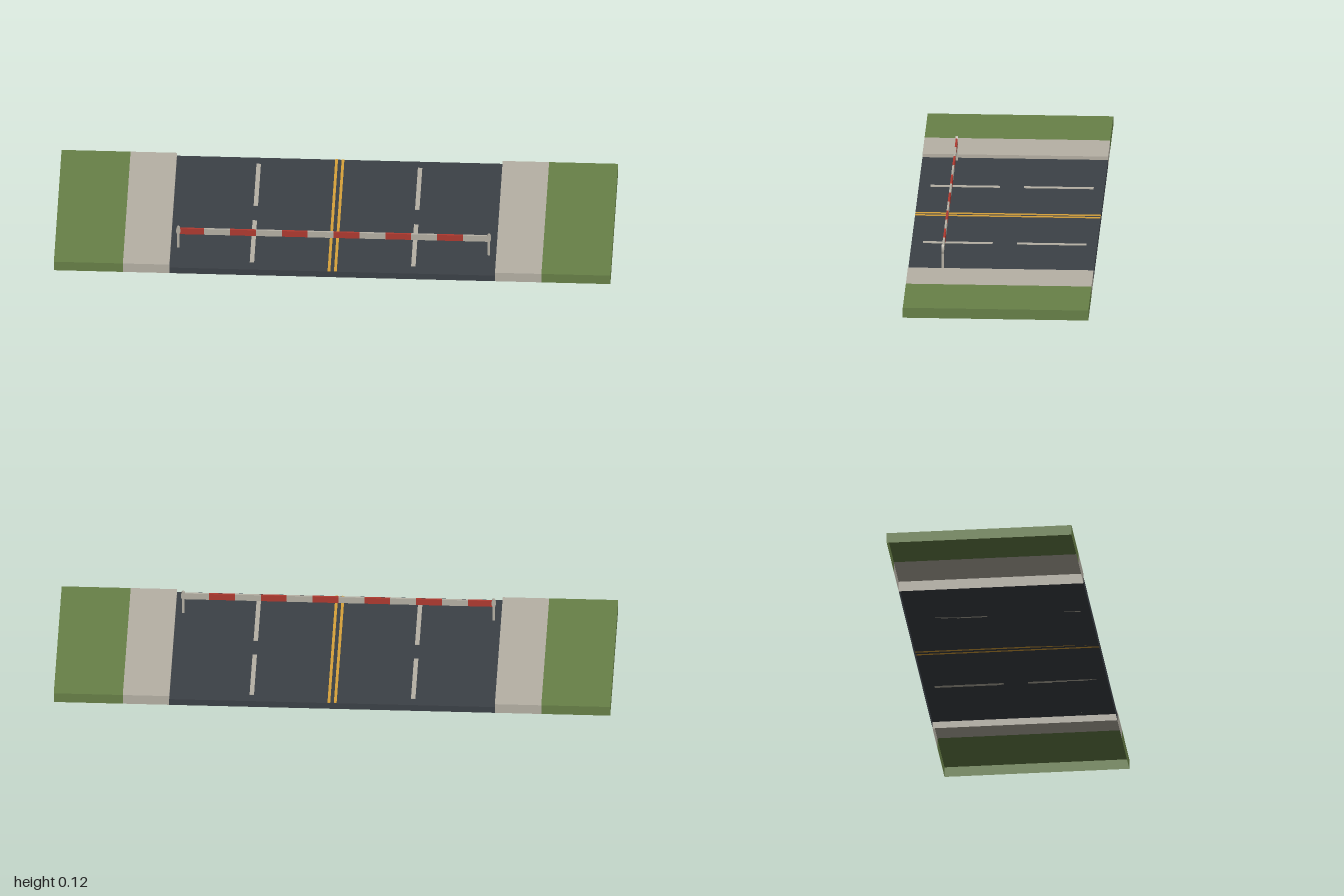
import * as THREE from 'three';

const material = (name, color) => {
  const m = new THREE.MeshStandardMaterial({ color, side: THREE.DoubleSide });
  m.name = name;
  return m;
};

const DEPTH = 0.667, ROAD_Y = 0.025, KERB_Y = 0.038;

export function createModel() {
  const group = new THREE.Group();
  const asphalt = material('asphalt', 0x3c4147);
  const pale = material('pale concrete', 0xb6b1a5);
  const grass = material('grass green', 0x688148);
  const yellow = material('line yellow', 0xd8a23a);
  const red = material('barrier red', 0xb03a30);

  const add = (parent, name, geometry, mat, x, y, z) => {
    const mesh = new THREE.Mesh(geometry, mat);
    mesh.name = name;
    mesh.position.set(x, y, z);
    parent.add(mesh);
    return mesh;
  };

  // Slab open underneath: top, front and back, plus an end wall at each x in ends
  const slab = (name, mat, x0, x1, h, ends) => {
    const part = new THREE.Group();
    part.name = name;
    const w = x1 - x0, cx = (x0 + x1) / 2;
    add(part, name + 'Top', new THREE.PlaneGeometry(w, DEPTH).rotateX(-Math.PI / 2), mat, cx, h, 0);
    add(part, name + 'Front', new THREE.PlaneGeometry(w, h), mat, cx, h / 2, DEPTH / 2);
    add(part, name + 'Back', new THREE.PlaneGeometry(w, h).rotateY(Math.PI), mat, cx, h / 2, -DEPTH / 2);
    for (const x of ends) {
      const turn = x > cx ? Math.PI / 2 : -Math.PI / 2;
      add(part, name + 'End', new THREE.PlaneGeometry(DEPTH, h).rotateY(turn), mat, x, h / 2, 0);
    }
    group.add(part);
  };

  // Road with a raised pavement and verge on each side
  slab('road', asphalt, -0.585, 0.585, ROAD_Y, []);
  slab('leftPavement', pale, 0.585, 0.752, KERB_Y, [0.585]);
  slab('rightPavement', pale, -0.752, -0.585, KERB_Y, [-0.585]);
  slab('leftVerge', grass, 0.752, 1, KERB_Y, [1]);
  slab('rightVerge', grass, -1, -0.752, KERB_Y, [-1]);

  // Double centre line and lane dashes
  for (const s of [-1, 1]) {
    add(group, 'centreLine', new THREE.BoxGeometry(0.01, 0.002, DEPTH), yellow, s * 0.0115, ROAD_Y + 0.001, 0);
    for (const z of [-0.17, 0.167]) {
      add(group, 'laneDash', new THREE.BoxGeometry(0.016, 0.002, 0.25), pale, s * 0.29, ROAD_Y + 0.001, z);
    }
  }

  // Striped barrier across the road
  const barrier = new THREE.Group();
  barrier.name = 'barrier';
  barrier.position.z = 0.209;
  group.add(barrier);
  const count = 12, span = 1.116, step = span / count;
  for (let i = 0; i < count; i++) {
    add(barrier, 'railStripe', new THREE.BoxGeometry(step, 0.025, 0.007),
      i % 2 ? pale : red, -span / 2 + step * (i + 0.5), 0.0975, 0);
  }
  // Slim posts with oval end plates
  for (const s of [-1, 1]) {
    add(barrier, 'post', new THREE.BoxGeometry(0.008, 0.085, 0.008), pale, s * 0.558, ROAD_Y + 0.0425, 0);
    const plate = add(barrier, 'endPlate',
      new THREE.CylinderGeometry(1, 1, 0.0084, 12).rotateX(Math.PI / 2), pale, s * 0.558, 0.1, 0);
    plate.scale.set(0.008, 0.018, 1);
  }
  return group;
}
